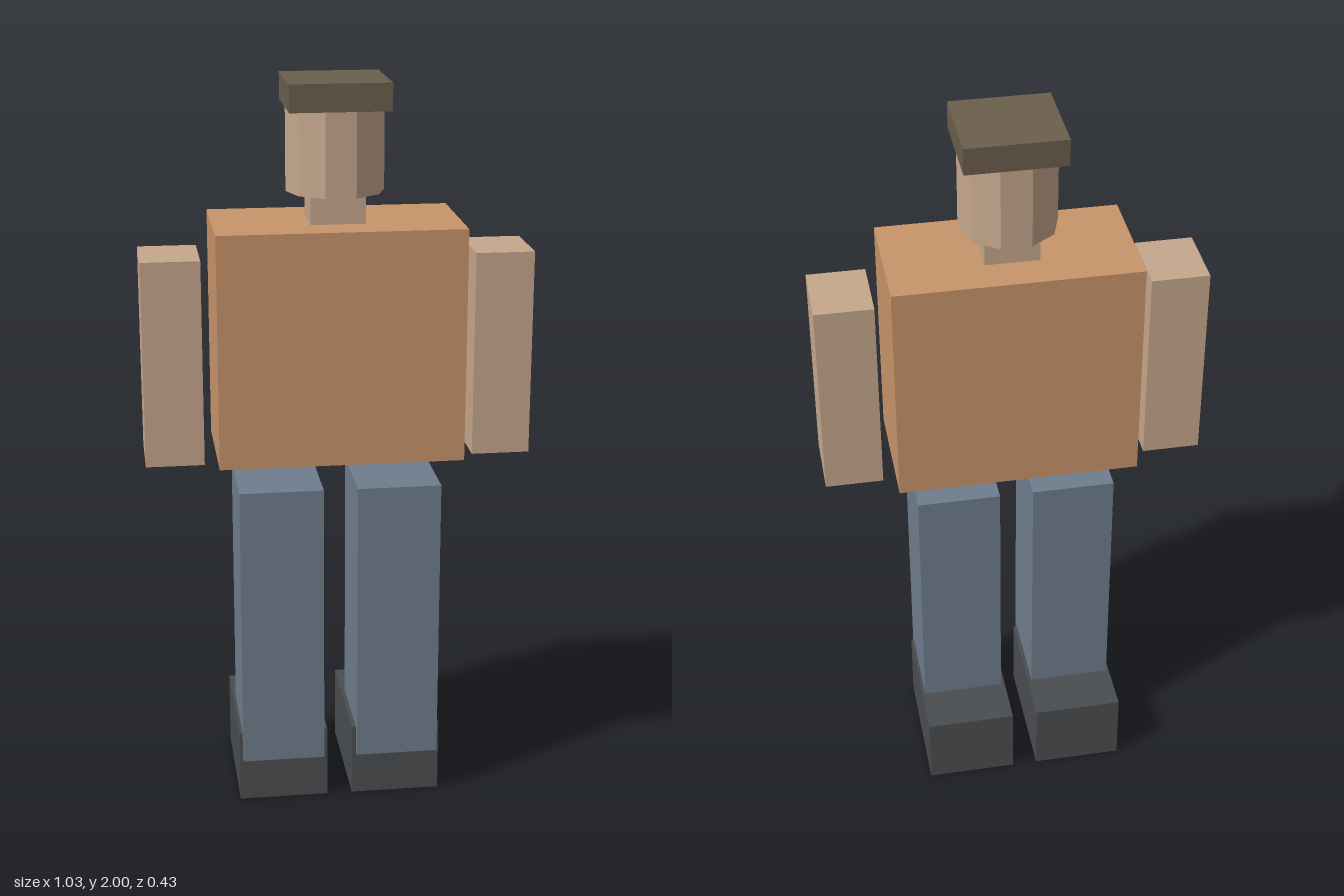
import * as THREE from 'three';

const material = (name, color) => {
  const m = new THREE.MeshStandardMaterial({ color });
  m.name = name;
  return m;
};

export function createModel() {
  const model = new THREE.Group();
  model.name = 'blockFigure';

  const shirt = material('shirtOrange', 0xc8946a);
  const skin = material('skinTan', 0xc5a78c);
  const trousers = material('trouserBlue', 0x6f7d8d);
  const leather = material('bootCharcoal', 0x4a4d50);
  const felt = material('hatBrown', 0x6b5e4c);

  // Box given by its extents along each axis
  const block = (name, mat, [x0, x1], [y0, y1], [z0, z1]) => {
    const mesh = new THREE.Mesh(new THREE.BoxGeometry(x1 - x0, y1 - y0, z1 - z0), mat);
    mesh.position.set((x0 + x1) / 2, (y0 + y1) / 2, (z0 + z1) / 2);
    mesh.name = name;
    model.add(mesh);
  };

  // Trunk, neck and flat hat
  block('torso', shirt, [-0.326, 0.326], [1.004, 1.63], [-0.12, 0.217]);
  block('neck', skin, [-0.072, 0.072], [1.63, 1.708], [-0.018, 0.117]);
  block('hat', felt, [-0.132, 0.132], [1.928, 2], [-0.077, 0.172]);

  // Ten-sided head with corners pointing sideways
  const headGeometry = new THREE.CylinderGeometry(0.13, 0.13, 0.22, 10, 1, false, Math.PI / 10).toNonIndexed();
  headGeometry.computeVertexNormals();
  const head = new THREE.Mesh(headGeometry, skin);
  head.position.set(0, 1.818, 0.049);
  head.name = 'head';
  model.add(head);

  // Limbs on both sides
  for (const [side, s] of [['left', 1], ['right', -1]]) {
    const span = (inner, outer) => (s > 0 ? [inner, outer] : [-outer, -inner]);
    block(side + 'Arm', skin, span(0.361, 0.517), [0.996, 1.55], [-0.047, 0.146]);
    block(side + 'Leg', trousers, span(0.046, 0.273), [0.127, 0.921], [-0.08, 0.179]);
    block(side + 'Boot', leather, span(0.035, 0.281), [0, 0.204], [-0.217, 0.158]);
  }

  return model;
}
